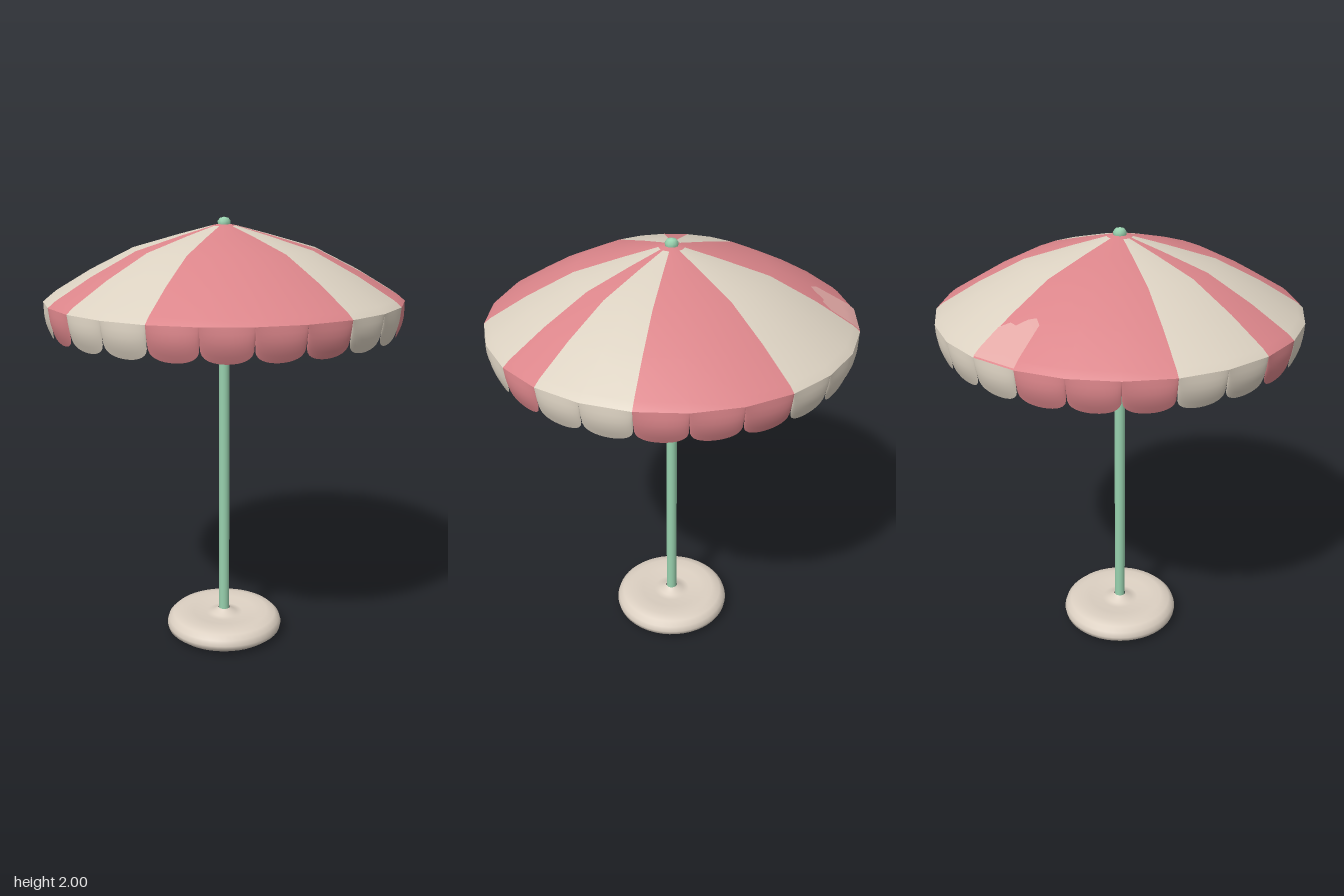
import * as THREE from 'three';

const mat = (name, color, side = THREE.FrontSide) => {
  const m = new THREE.MeshStandardMaterial({ color, side });
  m.name = name;
  return m;
};

const SIDES = 24;
// Stripe pattern by 15 degree sector, counted from +x towards +z (r = red, c = cream)
const STRIPES = 'crccrrrrccrccrrrrcccrrrc';
const isRed = (i) => STRIPES[i] === 'r';
// Canopy profile: radius, height
const PROFILE = [[0.02, 1.97], [0.055, 1.963], [0.2, 1.925], [0.41, 1.865], [0.61, 1.765], [0.77, 1.67], [0.8, 1.645]];

function heightAt(r) {
  for (let i = 1; i < PROFILE.length; i++) {
    const [r0, y0] = PROFILE[i - 1], [r1, y1] = PROFILE[i];
    if (r <= r1) return y0 + (y1 - y0) * (r - r0) / (r1 - r0);
  }
  return 1.645;
}

// Point on the straight-sided ring; s is a sector number with fraction
function ringPoint(s, r, y) {
  const i = Math.floor(s), t = s - i, step = Math.PI * 2 / SIDES;
  const a = i * step, b = a + step;
  return [
    r * (Math.cos(a) * (1 - t) + Math.cos(b) * t), y,
    r * (Math.sin(a) * (1 - t) + Math.sin(b) * t),
  ];
}

// Surface from a rule fn(column, row); wrap joins the last column to the first
function surface(fn, cols, rows, wrap = false) {
  const pos = [], index = [], count = wrap ? cols : cols + 1, w = rows + 1;
  for (let i = 0; i < count; i++) for (let j = 0; j <= rows; j++) pos.push(...fn(i, j));
  for (let i = 0; i < cols; i++) {
    const n = (i + 1) % count;
    for (let j = 0; j < rows; j++) {
      const a = i * w + j, b = n * w + j;
      index.push(a, b, a + 1, b, b + 1, a + 1);
    }
  }
  const g = new THREE.BufferGeometry();
  g.setAttribute('position', new THREE.Float32BufferAttribute(pos, 3));
  g.setIndex(index);
  g.computeVertexNormals();
  return g;
}

export function createModel() {
  const group = new THREE.Group();
  group.name = 'parasol';
  const red = mat('canopyRed', 0xdb858a, THREE.DoubleSide);
  const cream = mat('canopyCream', 0xdbd1c1, THREE.DoubleSide);
  const pale = mat('fadedPink', 0xe2a8a5, THREE.DoubleSide);
  const green = mat('poleGreen', 0x98d1ae);
  const stone = mat('stoneCream', 0xdcd0c2);
  const add = (name, geometry, material, parent = group) => {
    const m = new THREE.Mesh(geometry, material);
    m.name = name;
    parent.add(m);
    return m;
  };

  // Weighted base with a dished top and a collar
  const basePts = [[0, 0], [0.2, 0], [0.25, 0.01], [0.276, 0.03], [0.28, 0.05], [0.272, 0.075],
    [0.25, 0.096], [0.21, 0.105], [0.15, 0.102], [0.09, 0.092], [0.06, 0.095], [0.027, 0.118]];
  add('base', new THREE.LatheGeometry(basePts.map((p) => new THREE.Vector2(...p)), 48), stone);

  // Pole, upper sleeve and finial
  const cyl = (r0, r1, y0, y1, n) => new THREE.CylinderGeometry(r1, r0, y1 - y0, n).translate(0, (y0 + y1) / 2, 0);
  add('pole', cyl(0.025, 0.025, 0.08, 1.76, 16), green);
  add('sleeve', cyl(0.027, 0.027, 1.74, 1.96, 16), stone);
  const finialPts = [[0.02, 1.95], [0.027, 1.962], [0.029, 1.982], [0.019, 1.995], [0, 2]];
  add('finial', new THREE.LatheGeometry(finialPts.map((p) => new THREE.Vector2(...p)), 12), green);

  // Striped canopy, one material group per sector, red around the tip
  const rows = PROFILE.length - 1;
  const cover = surface((i, j) => ringPoint(i, ...PROFILE[j]), SIDES, rows, true);
  for (let i = 0; i < SIDES; i++) {
    cover.addGroup(i * rows * 6, 6, 0);
    cover.addGroup(i * rows * 6 + 6, rows * 6 - 6, isRed(i) ? 0 : 1);
  }
  add('canopy', cover, [red, cream]);

  // Faded patch on one rear panel
  const inner = [0.62, 0.595, 0.61, 0.645, 0.64, 0.67];
  add('fadedPatch', surface((i, j) => {
    const r = inner[i] + (0.798 - inner[i]) * j / 6;
    return ringPoint(16 + Math.min(i / 5, 0.999), r, heightAt(r) + 0.005);
  }, 5, 6), pale);

  // Scalloped valance
  const valance = new THREE.Group();
  valance.name = 'valance';
  group.add(valance);
  for (let s = 0; s < SIDES; s++) {
    // The sector with the faded patch has a cream scallop
    const material = isRed(s) && s !== 16 ? red : cream;
    add('scallop', surface((i, j) => {
      const a = Math.PI * i / 16, t = (1 - Math.cos(a)) / 2, v = j / 5;
      const drop = (0.055 + 0.09 * Math.sqrt(Math.sin(a))) * v;
      const r = 0.8 - 0.17 * drop + 0.014 * Math.sin(a) * Math.sin(Math.PI * v);
      return ringPoint(s + Math.min(t, 0.9999), r, 1.645 - drop);
    }, 16, 5), material, valance);
  }

  // Curved ribs fanning out from the pole, each with a short fork
  const ribs = new THREE.Group();
  ribs.name = 'ribs';
  group.add(ribs);
  const tube = (pts, r) => new THREE.TubeGeometry(
    new THREE.CatmullRomCurve3(pts.map((p) => new THREE.Vector3(...p))), 14, r, 6);
  for (let k = 0; k < 8; k++) {
    const long = k === 2 || k === 4;
    const path = long
      ? [[0.015, 1.37, 0], [0.18, 1.54, 0], [0.42, 1.68, 0], [0.74, 1.61, 0]]
      : [[0.015, 1.37, 0], [0.16, 1.51, 0], [0.36, 1.64, 0], [0.57, 1.74, 0]];
    const rib = new THREE.Group();
    rib.name = 'rib';
    rib.rotation.y = -k * Math.PI / 4;
    add('strut', tube(path, 0.01), stone, rib);
    if (!long) add('fork', tube([[0.1, 1.455, 0], [0.27, 1.6, 0.07], [0.45, 1.74, 0.16]], 0.008), stone, rib);
    ribs.add(rib);
  }
  return group;
}
